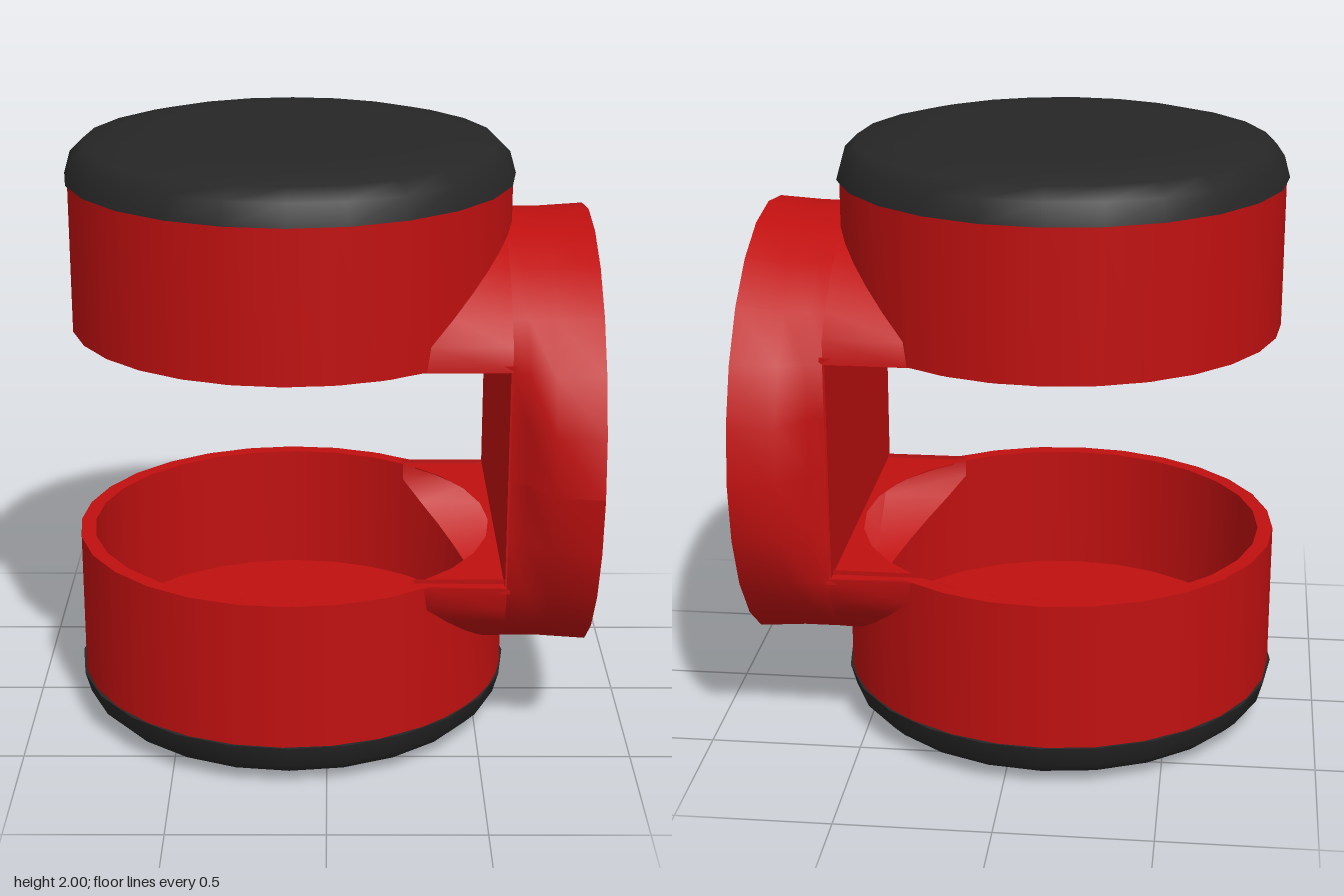
import * as THREE from 'three';

const CX = -0.12;                  // axis of the two cups
const MID = 1;                     // height of the side pipe axis
const OUT = { R: 0.72, r: 0.72, clip: 0.58 };
const INN = { R: 0.67, r: 0.69, clip: 0.54 };
const PHI = Math.asin(OUT.clip / OUT.R); // half angle of the neck on the cup

const red = new THREE.MeshStandardMaterial({ color: 0xc01010, side: THREE.DoubleSide });
const black = new THREE.MeshStandardMaterial({ color: 0x262626, side: THREE.DoubleSide });

function add(parent, name, geometry, material = red) {
  const mesh = new THREE.Mesh(geometry, material);
  mesh.name = name;
  parent.add(mesh);
  return mesh;
}

// Smooth surface from a function of column and row
function grid(cols, rows, fn) {
  const pos = [], idx = [];
  for (let j = 0; j <= rows; j++)
    for (let i = 0; i <= cols; i++) pos.push(...fn(i, j));
  const w = cols + 1;
  for (let j = 0; j < rows; j++)
    for (let i = 0; i < cols; i++) {
      const a = j * w + i;
      idx.push(a, a + 1, a + w, a + 1, a + w + 1, a + w);
    }
  const g = new THREE.BufferGeometry();
  g.setAttribute('position', new THREE.Float32BufferAttribute(pos, 3));
  g.setIndex(idx);
  g.computeVertexNormals();
  return g;
}

// Round pipe section with its sides cut flat
function section(theta, r, clip) {
  const z = THREE.MathUtils.clamp(r * Math.cos(theta), -clip, clip);
  return [MID + r * Math.sin(theta), z];
}

// Loft of the pipe through rows of [x, radius, side clip]
function pipe(rows) {
  return grid(24, rows.length - 1, (i, j) => {
    const [x, r, clip] = rows[j];
    const [y, z] = section((i / 24) * Math.PI * 2, r, clip);
    return [x, y, z];
  });
}

const cupX = (R, z) => CX + Math.sqrt(R * R - z * z);
const neckAngle = (i) => Math.PI / 6 + (i / 16) * (Math.PI * 2 / 3);

// Cup open at its mouth, with a neck leading into the side pipe
function makeCup(name) {
  const cup = new THREE.Group();
  cup.name = name;

  for (const [label, s, top] of [['outer', OUT, 1.85], ['inner', INN, 1.8]]) {
    // Round wall away from the neck
    const wall = new THREE.LatheGeometry(
      [new THREE.Vector2(s.R, 1.36), new THREE.Vector2(s.R, top)],
      20, Math.PI / 2 + PHI, Math.PI * 2 - 2 * PHI);
    add(cup, label + 'Wall', wall).position.x = CX;

    // Wall above the neck
    add(cup, label + 'WallAboveNeck', grid(16, 1, (i, j) => {
      const [y, z] = section(neckAngle(i), s.r, s.clip);
      return [cupX(s.R, z), j ? top : Math.min(y, top), z];
    }));

    // Neck from the cup wall to the pipe
    add(cup, label + 'Neck', grid(16, 1, (i, j) => {
      const [y, z] = section(neckAngle(i), s.r, s.clip);
      return [j ? 0.57 : Math.min(0.57, cupX(s.R, z)), y, z];
    }));
  }

  // Flat edge of the mouth
  const rim = add(cup, 'mouthRim', new THREE.RingGeometry(INN.R, OUT.R, 28));
  rim.rotation.x = Math.PI / 2;
  rim.position.set(CX, 1.36, 0);

  // Shelf joining the mouth to the back plate
  const shape = new THREE.Shape();
  shape.moveTo(0.58, -OUT.clip);
  shape.lineTo(0.58, OUT.clip);
  for (let i = 0; i <= 10; i++) {
    const a = PHI * (1 - i / 5);
    shape.lineTo(CX + 0.7 * Math.cos(a), 0.7 * Math.sin(a));
  }
  const shelf = add(cup, 'mouthShelf',
    new THREE.ExtrudeGeometry(shape, { depth: 0.02, bevelEnabled: false }));
  shelf.rotation.x = Math.PI / 2;
  shelf.position.y = 1.38;

  // Cup floor
  const floor = add(cup, 'cupFloor', new THREE.CircleGeometry(INN.R, 28));
  floor.rotation.x = Math.PI / 2;
  floor.position.set(CX, 1.8, 0);

  // Rounded end cap
  const profile = [[0, 2], [0.44, 2], [0.57, 1.985], [0.67, 1.96], [0.71, 1.92], [0.73, 1.85]]
    .map(([r, y]) => new THREE.Vector2(r, y));
  add(cup, 'endCap', new THREE.LatheGeometry(profile, 24), black).position.x = CX;
  const capBase = add(cup, 'endCapBase', new THREE.CircleGeometry(0.73, 24), black);
  capBase.rotation.x = Math.PI / 2;
  capBase.position.set(CX, 1.85, 0);
  return cup;
}

export function createModel() {
  const model = new THREE.Group();
  model.name = 'pipeBracket';

  // Upper cup, and the same cup turned over for the lower end
  model.add(makeCup('upperCup'));
  const lower = makeCup('lowerCup');
  lower.rotation.x = Math.PI;
  lower.position.y = 2 * MID;
  model.add(lower);

  // Side pipe with flared flange
  const flange = new THREE.Group();
  flange.name = 'sideFlange';
  model.add(flange);
  add(flange, 'flangeOutside', pipe([
    [0.57, 0.72, 0.58], [0.62, 0.72, 0.6], [0.7, 0.72, 0.71], [0.85, 0.73, 0.73]]));
  add(flange, 'flangeInside', pipe([
    [0.85, 0.7, 0.7], [0.7, 0.69, 0.67], [0.62, 0.69, 0.56], [0.57, 0.69, 0.54]]));
  add(flange, 'flangeEdge', pipe([[0.85, 0.73, 0.73], [0.85, 0.7, 0.7]]));

  // Plate between the cups
  add(model, 'backPlate', new THREE.BoxGeometry(0.03, 0.72, 1.14)).position.set(0.58, MID, 0);
  return model;
}
